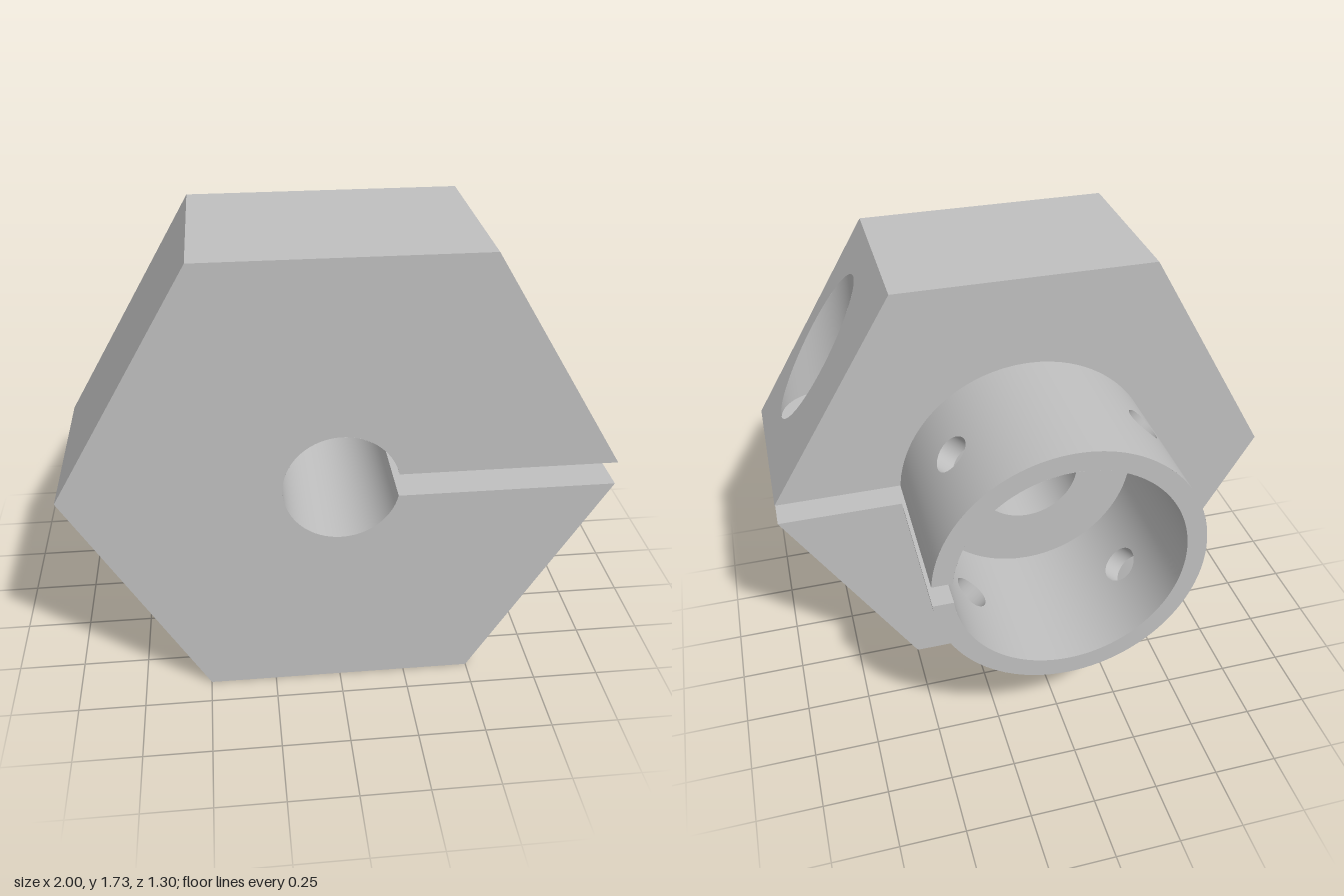
import * as THREE from 'three';
import { ParametricGeometry } from 'three/addons/geometries/ParametricGeometry.js';

const H = Math.sqrt(3) / 2;            // hexagon half height
const BACK = -0.04, FRONT = 0.65;      // hexagon body depth range
const TUBE_END = -0.65, RO = 0.517, RI = 0.44;
const BORE = 0.21, SLOT = 0.045;       // bore radius, slot half width
const BX = 0.747, BZ = 0.387;          // clamp screw axis
const CB = 0.174, SCREW = 0.088, NUT = 0.135;
const SEAT = 0.155, NUT_SEAT = 0.095;  // counterbore and nut pocket floors
const PIN = 0.073, PIN_Z = -0.33;      // radial pin holes in the tube

export function createModel() {
  const grey = new THREE.MeshStandardMaterial({ color: 0xc0c0c0, side: THREE.DoubleSide });
  grey.name = 'plain grey';
  const model = new THREE.Group();
  model.name = 'hexClampHub';
  const body = new THREE.Group();
  body.name = 'hexBody';
  const tube = new THREE.Group();
  tube.name = 'hubTube';
  model.add(body, tube);
  model.position.y = H;

  const add = (parent, name, geometry) => {
    const mesh = new THREE.Mesh(geometry, grey);
    mesh.name = name;
    parent.add(mesh);
    return mesh;
  };
  const V = (x, y, z) => new THREE.Vector3(x, y, z);

  // flat face: a shape laid on the plane origin + u, v
  const face = (parent, name, shape, origin, u, v) => {
    const m = new THREE.Matrix4().makeBasis(u, v, u.clone().cross(v)).setPosition(origin);
    add(parent, name, new THREE.ShapeGeometry(shape, 64).applyMatrix4(m));
  };
  const rect = (x0, y0, x1, y1) => new THREE.Shape([[x0, y0], [x1, y0], [x1, y1], [x0, y1]]
    .map(p => new THREE.Vector2(...p)));
  const oval = (x, y, rx, ry, Type = THREE.Path) =>
    new Type().absellipse(x, y, rx, ry, 0, Math.PI * 2, false, 0);
  const hexagon = (x, y, r, Type) => new Type(Array.from({ length: 6 }, (_, i) =>
    new THREE.Vector2(x + r * Math.cos(i * Math.PI / 3), y + r * Math.sin(i * Math.PI / 3))));
  const X = V(1, 0, 0), Y = V(0, 1, 0), Z = V(0, 0, 1);

  // hexagon outline, open at the slot on the +x corner
  const outline = [[1, SLOT], [0.5, H], [-0.5, H], [-1, 0], [-0.5, -H], [0.5, -H], [1, -SLOT]];

  // front and back faces with the keyhole-shaped bore and slot
  const boreA = Math.asin(SLOT / BORE), boreX = BORE * Math.cos(boreA);
  const keyhole = new THREE.Shape();
  keyhole.moveTo(...outline[0]);
  outline.slice(1).forEach(p => keyhole.lineTo(...p));
  keyhole.lineTo(boreX, -SLOT);
  keyhole.absarc(0, 0, BORE, Math.PI * 2 - boreA, boreA, true);
  face(body, 'frontFace', keyhole, V(0, 0, FRONT), X, Y);
  face(body, 'backFace', keyhole, V(0, 0, BACK), X.clone().negate(), Y);
  body.children[1].geometry.scale(-1, 1, 1);
  body.children[1].geometry.index.array.reverse();

  // hexagon sides, the two beside the slot carrying counterbore openings
  for (let i = 0; i < 6; i++) {
    const a = V(...outline[i], BACK), b = V(...outline[i + 1], BACK);
    const length = a.distanceTo(b);
    const side = rect(0, 0, length, FRONT - BACK);
    if (i === 0 || i === 5) {
      const t = (i === 0 ? 1 - BX : BX - 0.5) / 0.5;
      side.holes.push(oval(t * length, BZ - BACK, CB / 0.5 * length, CB));
    }
    face(body, 'hexSide', side, a, b.clone().sub(a).normalize(), Z);
  }

  // bore wall
  add(body, 'boreWall', new ParametricGeometry((u, v, p) => {
    const a = boreA + u * 2 * (Math.PI - boreA);
    p.set(BORE * Math.cos(a), BORE * Math.sin(a), BACK + v * (FRONT - BACK));
  }, 64, 1));

  // vertical round wall around the screw axis
  const wall = (name, r, y0, y1) => add(body, name,
    new THREE.CylinderGeometry(r, r, y1 - y0, 64, 1, true).translate(BX, (y0 + y1) / 2, BZ));

  for (const s of [1, -1]) {
    const level = y => V(0, s * y, 0);
    const v = Z.clone().multiplyScalar(-s);
    // horizontal face looking away from the slot; shape z runs along v
    const z = -s * BZ;

    // slot face with the screw hole
    const slot = rect(boreX, BACK, 1, FRONT);
    slot.holes.push(oval(BX, BZ, SCREW, SCREW));
    face(body, 'slotFace', slot, level(SLOT), X, Z);

    // counterbore wall trimmed to the sloping side
    const bore = wall('counterboreWall', CB, -0.5, 0.5).geometry;
    const pos = bore.attributes.position;
    for (let i = 0; i < pos.count; i++) {
      const slope = SLOT + (1 - pos.getX(i)) / 0.5 * (H - SLOT);
      const outer = pos.getY(i) * s > 0;
      pos.setY(i, s * (outer ? slope : SEAT));
    }

    // counterbore floor: nut pocket above, plain screw hole below
    const floor = oval(BX, z, CB, CB, THREE.Shape);
    floor.holes.push(s > 0 ? hexagon(BX, z, NUT, THREE.Path) : oval(BX, z, SCREW, SCREW));
    face(body, 'counterboreFloor', floor, level(SEAT), X, v);
    if (s > 0) {
      const pocket = new THREE.CylinderGeometry(NUT, NUT, SEAT - NUT_SEAT, 6, 1, true, Math.PI / 6)
        .translate(BX, (SEAT + NUT_SEAT) / 2, BZ).toNonIndexed();
      pocket.computeVertexNormals();
      add(body, 'nutPocketWall', pocket);
      const seat = hexagon(BX, z, NUT, THREE.Shape);
      seat.holes.push(oval(BX, z, SCREW, SCREW));
      face(body, 'nutPocketFloor', seat, level(NUT_SEAT), X, v);
      wall('screwHole', SCREW, SLOT, NUT_SEAT);
    } else {
      wall('screwHole', SCREW, -SEAT, -SLOT);
    }

    // slot edges of the tube
    const x0 = Math.sqrt(RI * RI - SLOT * SLOT), x1 = Math.sqrt(RO * RO - SLOT * SLOT);
    face(tube, 'tubeSlotEdge', rect(x0, TUBE_END, x1, BACK), level(SLOT), X, Z);
  }

  // tube end ring
  const ao = Math.asin(SLOT / RO), ai = Math.asin(SLOT / RI);
  const ring = new THREE.Shape();
  ring.absarc(0, 0, RO, ao, Math.PI * 2 - ao, false);
  ring.absarc(0, 0, RI, Math.PI * 2 - ai, ai, true);
  face(tube, 'tubeRim', ring, V(0, 0, TUBE_END), X, Y);

  // tube walls: four quarter patches, each spreading from its pin hole
  const onTube = (p, r, a, z) => p.set(r * Math.cos(a), r * Math.sin(a), z);
  const pinAngle = (mid, r, c) => mid + Math.asin(PIN * c / r);
  for (let k = 0; k < 4; k++) {
    const mid = (k + 0.5) * Math.PI / 2;
    for (const r of [RO, RI]) {
      const gap = Math.asin(SLOT / r);
      const lo = k === 0 ? gap : k * Math.PI / 2;
      const hi = k === 3 ? Math.PI * 2 - gap : (k + 1) * Math.PI / 2;
      add(tube, r === RO ? 'tubeOuterWall' : 'tubeInnerWall', new ParametricGeometry((u, v, p) => {
        const c = Math.cos(u * Math.PI * 2), s = Math.sin(u * Math.PI * 2);
        const m = Math.max(Math.abs(c), Math.abs(s));
        const edgeA = mid + c / m * (c > 0 ? hi - mid : mid - lo);
        const edgeZ = PIN_Z + s / m * (s > 0 ? BACK - PIN_Z : PIN_Z - TUBE_END);
        onTube(p, r, THREE.MathUtils.lerp(pinAngle(mid, r, c), edgeA, v),
          THREE.MathUtils.lerp(PIN_Z + PIN * s, edgeZ, v));
      }, 96, 12));
    }
    add(tube, 'pinHole', new ParametricGeometry((u, v, p) => {
      const c = Math.cos(u * Math.PI * 2), s = Math.sin(u * Math.PI * 2);
      const r = RI + v * (RO - RI);
      onTube(p, r, pinAngle(mid, r, c), PIN_Z + PIN * s);
    }, 96, 1));
  }
  return model;
}
